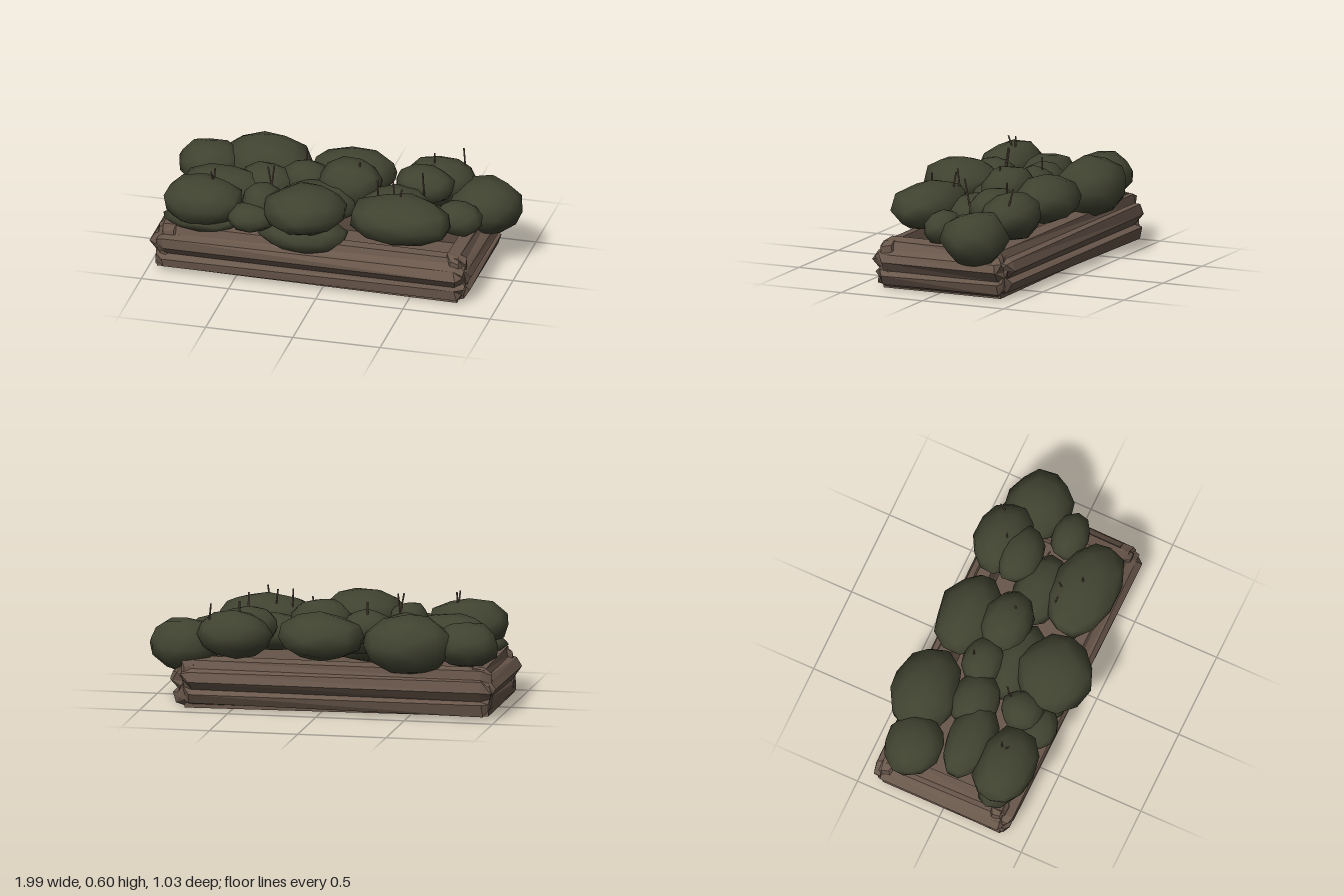
import * as THREE from 'three';
import { mergeVertices } from 'three/addons/utils/BufferGeometryUtils.js';

// Small seeded generator returning values in -1..1
let seed = 7;
const rnd = () => {
  seed = (seed * 16807) % 2147483647;
  return (seed / 2147483647) * 2 - 1;
};

// Rough-hewn beam: a grooved cross-section (outward, up) lofted along x
const PROFILE = [
  [-0.06, 0.03], [0.0, 0.02], [0.05, 0.035], [0.065, 0.09], [0.045, 0.115],
  [0.085, 0.17], [0.07, 0.215], [0.03, 0.235], [0.015, 0.28], [-0.05, 0.285], [-0.075, 0.15],
];
const SECTIONS = [[-1, 0.72], [-0.95, 1], [0.95, 1], [1, 0.72]];

function beamGeometry(length) {
  const pos = [], index = [], n = PROFILE.length;
  for (const [t, s] of SECTIONS) {
    for (const [u, v] of PROFILE) {
      pos.push(t * length / 2 + rnd() * 0.012, 0.15 + (v - 0.15) * (0.2 + 0.8 * s) + rnd() * 0.01, u * s + rnd() * 0.012);
    }
  }
  for (let s = 0; s < SECTIONS.length - 1; s++) {
    for (let i = 0; i < n; i++) {
      const a = s * n + i, b = s * n + (i + 1) % n;
      index.push(a, a + n, b, b, a + n, b + n);
    }
  }
  // End caps
  const start = pos.length / 3, last = (SECTIONS.length - 1) * n;
  pos.push(-length / 2 - 0.01, 0.16, 0, length / 2 + 0.01, 0.16, 0);
  for (let i = 0; i < n; i++) {
    const j = (i + 1) % n;
    index.push(start, i, j, start + 1, last + j, last + i);
  }
  const g = new THREE.BufferGeometry();
  g.setAttribute('position', new THREE.Float32BufferAttribute(pos, 3));
  g.setIndex(index);
  const flat = g.toNonIndexed();
  flat.computeVertexNormals();
  return flat;
}

// Lumpy faceted-outline foliage clump with smooth normals
function clumpGeometry(rx, ry, rz) {
  let g = new THREE.IcosahedronGeometry(1, 1);
  g.deleteAttribute('uv');
  g.deleteAttribute('normal');
  g = mergeVertices(g, 1e-3);
  g.rotateY(rnd() * 3);
  const p = g.attributes.position;
  for (let i = 0; i < p.count; i++) {
    const k = 0.98 + rnd() * 0.07;
    p.setXYZ(i, p.getX(i) * k * rx, p.getY(i) * k * ry, p.getZ(i) * k * rz);
  }
  g.computeVertexNormals();
  return g;
}

export function createModel() {
  seed = 7;
  const model = new THREE.Group();
  const wood = new THREE.MeshStandardMaterial({ color: 0x69574b });
  wood.name = 'weathered wood';
  const leaf = new THREE.MeshStandardMaterial({ color: 0x414331 });
  leaf.name = 'dark foliage';

  const add = (parent, name, geometry, material) => {
    const mesh = new THREE.Mesh(geometry, material);
    mesh.name = name;
    parent.add(mesh);
    return mesh;
  };

  // Planter frame: name, length, x, z, turn
  const planter = new THREE.Group();
  planter.name = 'planter';
  model.add(planter);
  for (const [name, length, x, z, turn] of [
    ['frontBeam', 1.76, -0.07, 0.325, 0],
    ['backBeam', 1.74, -0.09, -0.355, Math.PI],
    ['leftBeam', 0.74, 0.765, -0.015, Math.PI / 2],
    ['rightBeam', 0.74, -0.9, -0.01, -Math.PI / 2],
  ]) {
    const beam = add(planter, name, beamGeometry(length), wood);
    beam.position.set(x, 0, z);
    beam.rotation.y = turn;
  }
  const base = add(planter, 'base', new THREE.BoxGeometry(1.72, 0.03, 0.72), wood);
  base.position.set(-0.09, 0.03, -0.01);
  base.rotation.z = -0.01;

  // Foliage: centre x, y, z and radii x, y, z
  const foliage = new THREE.Group();
  foliage.name = 'foliage';
  model.add(foliage);
  for (const [x, y, z, rx, ry, rz] of [
    [-0.49, 0.40, -0.32, 0.26, 0.17, 0.20],
    [-0.80, 0.40, -0.25, 0.19, 0.13, 0.17],
    [0.02, 0.42, -0.29, 0.25, 0.14, 0.18],
    [0.05, 0.46, -0.07, 0.19, 0.14, 0.15],
    [0.50, 0.42, -0.31, 0.22, 0.14, 0.16],
    [0.79, 0.335, -0.22, 0.21, 0.165, 0.19],
    [0.45, 0.45, -0.17, 0.18, 0.11, 0.13],
    [0.69, 0.36, 0.02, 0.14, 0.10, 0.11],
    [0.42, 0.42, 0.23, 0.31, 0.14, 0.19],
    [-0.11, 0.45, 0.29, 0.24, 0.135, 0.22],
    [-0.71, 0.42, 0.27, 0.24, 0.14, 0.17],
    [-0.65, 0.40, 0.03, 0.25, 0.12, 0.14],
    [-0.42, 0.40, -0.05, 0.17, 0.13, 0.14],
    [-0.21, 0.45, -0.10, 0.14, 0.10, 0.12],
    [-0.38, 0.43, 0.22, 0.12, 0.11, 0.13],
    [-0.42, 0.38, 0.34, 0.14, 0.08, 0.10],
    [-0.13, 0.29, 0.27, 0.26, 0.11, 0.16],
    [-0.71, 0.31, 0.26, 0.22, 0.07, 0.14],
    [0.33, 0.38, 0.00, 0.23, 0.11, 0.15],
    [-0.12, 0.38, 0.06, 0.24, 0.12, 0.14],
  ]) {
    add(foliage, 'clump', clumpGeometry(rx, ry, rz), leaf).position.set(x, y, z);
  }

  // Bare twigs: top x, z and lean towards the root in x, z
  const twigs = new THREE.Group();
  twigs.name = 'twigs';
  model.add(twigs);
  const up = new THREE.Vector3(0, 1, 0);
  for (const [x, z, dx, dz] of [
    [-0.65, 0.22, -0.01, 0.01], [-0.66, 0.27, 0.01, -0.06], [-0.37, 0.13, 0.03, 0.01],
    [-0.34, 0.11, -0.01, 0.03], [-0.22, -0.15, 0, 0], [0.11, -0.05, -0.01, 0.02],
    [0.26, 0.14, 0, -0.02], [0.34, 0.11, 0.02, 0.02], [0.42, 0.22, -0.02, 0.01],
    [0.48, -0.01, 0, -0.03], [0.48, -0.27, 0, 0], [0.62, -0.375, 0.02, 0.03],
  ]) {
    const top = new THREE.Vector3(x, 0.6, z), root = new THREE.Vector3(x + dx, 0.45, z + dz);
    const axis = top.clone().sub(root);
    const twig = add(twigs, 'twig', new THREE.CylinderGeometry(0.005, 0.005, axis.length(), 5), wood);
    twig.position.copy(top).add(root).multiplyScalar(0.5);
    twig.quaternion.setFromUnitVectors(up, axis.normalize());
  }
  return model;
}
